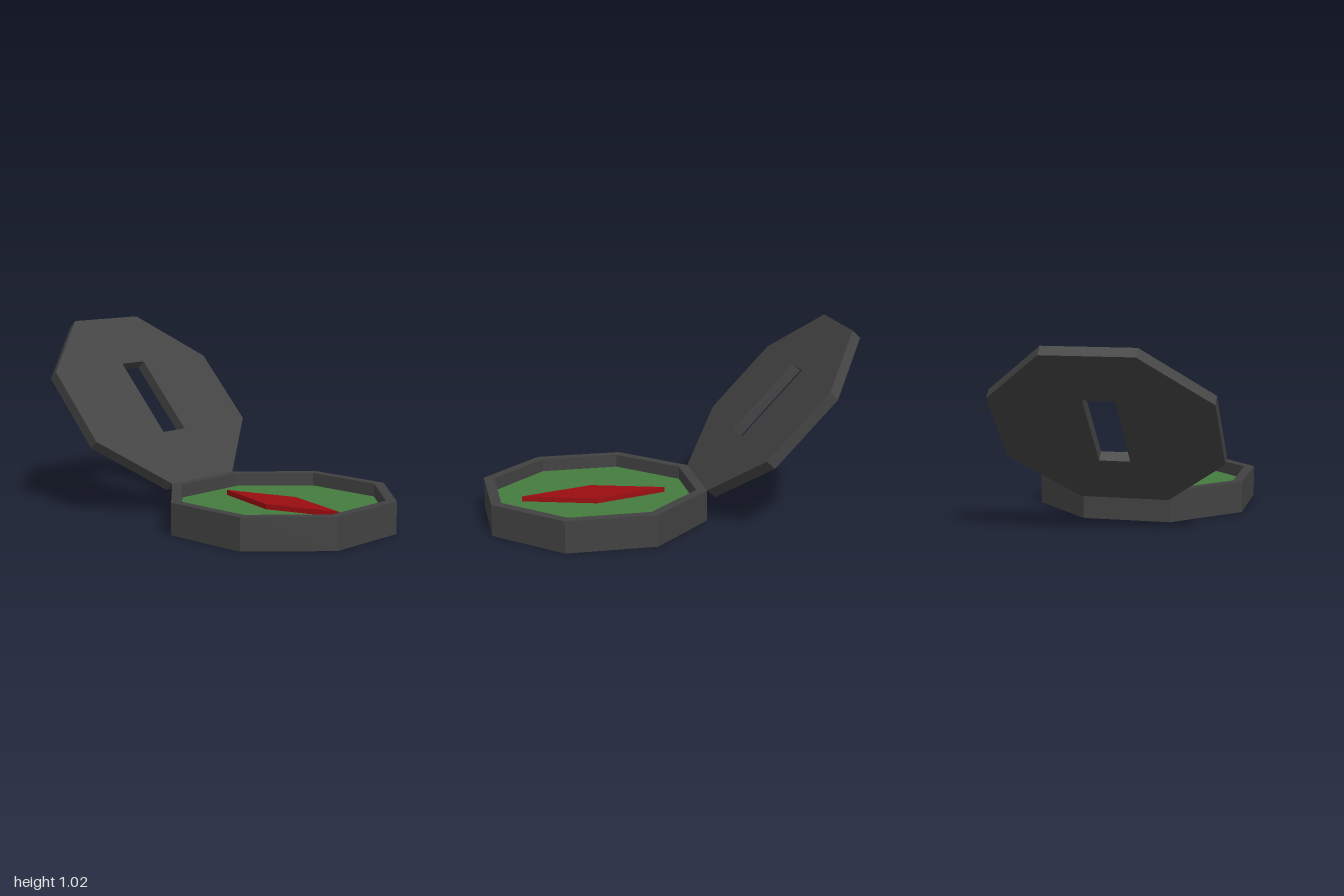
import * as THREE from 'three';

const flat = (name, color) => {
  const m = new THREE.MeshStandardMaterial({ color });
  m.name = name;
  return m;
};

// Closed outline of an octagon centred on the origin
const octagon = (r) => {
  const c = r * Math.tan(Math.PI / 8);
  return [[c, -r], [r, -c], [r, c], [c, r], [-c, r], [-r, c], [-r, -c], [-c, -r]]
    .map(([x, y]) => new THREE.Vector2(x, y));
};

// Prism extruded along z, optionally with a hole
function prism(name, points, depth, material, hole) {
  const shape = new THREE.Shape(points);
  if (hole) shape.holes.push(new THREE.Path(hole));
  const mesh = new THREE.Mesh(
    new THREE.ExtrudeGeometry(shape, { depth, bevelEnabled: false }), material);
  mesh.name = name;
  return mesh;
}

export function createModel() {
  const casing = flat('dark grey casing', 0x414141);
  const green = flat('green dial', 0x457b3f);
  const red = flat('red needle', 0x9a0d10);

  const R = 0.58, INNER = 0.525, HEIGHT = 0.172, FLOOR = 0.1, LID = 0.06;
  const model = new THREE.Group();
  model.name = 'compass';

  // Base: local z is up once the group is laid flat
  const base = new THREE.Group();
  base.name = 'base';
  base.rotation.x = -Math.PI / 2;
  base.position.z = 0.42;
  const rim = prism('rim', octagon(R), HEIGHT, casing, octagon(INNER).reverse());
  const bottom = prism('bottom', octagon(INNER), FLOOR - 0.005, casing);
  const dial = prism('dial', octagon(INNER), 0.005, green);
  dial.position.z = FLOOR - 0.005;
  const diamond = [[0, -0.395], [0.12, 0], [0, 0.395], [-0.12, 0]]
    .map(([x, y]) => new THREE.Vector2(x, y));
  const needle = prism('needle', diamond, 0.028, red);
  needle.position.z = FLOOR;
  base.add(rim, bottom, dial, needle);

  // Lid: hinged on the rear top edge of the base and tilted back
  const lid = new THREE.Group();
  lid.name = 'lid';
  lid.position.set(0, HEIGHT, -0.16);
  lid.rotation.x = -0.755;
  const slot = [[-0.083, -0.247], [-0.083, 0.247], [0.083, 0.247], [0.083, -0.247]]
    .map(([x, y]) => new THREE.Vector2(x, y));
  const cover = prism('cover', octagon(R), LID, casing, slot);
  cover.position.set(0, R, -LID);
  lid.add(cover);

  model.add(base, lid);
  return model;
}
